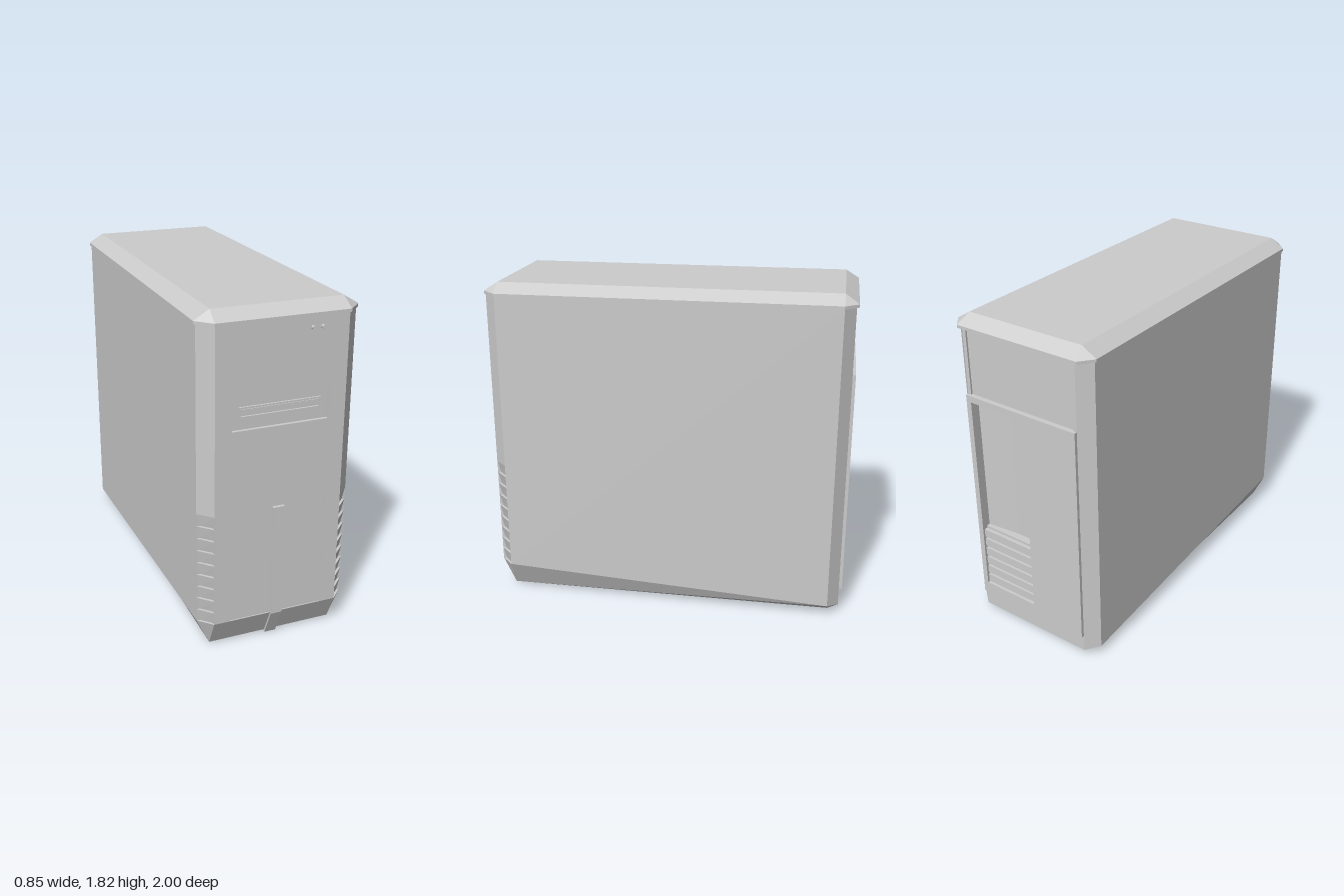
import * as THREE from 'three';

const mat = new THREE.MeshStandardMaterial({ color: 0xcccccc, side: THREE.DoubleSide, flatShading: true });

function add(parent, name, geo) {
  const mesh = new THREE.Mesh(geo, mat);
  mesh.name = name;
  parent.add(mesh);
  return mesh;
}

// Box given by its limits on each axis
function box(parent, name, [x0, x1], [y0, y1], [z0, z1]) {
  const geo = new THREE.BoxGeometry(x1 - x0, y1 - y0, z1 - z0);
  geo.translate((x0 + x1) / 2, (y0 + y1) / 2, (z0 + z1) / 2);
  return add(parent, name, geo);
}

// Flat-shaded surface from convex polygons
function faces(polys) {
  const pos = [];
  for (const p of polys) {
    for (let i = 1; i < p.length - 1; i++) pos.push(...p[0], ...p[i], ...p[i + 1]);
  }
  const geo = new THREE.BufferGeometry();
  geo.setAttribute('position', new THREE.Float32BufferAttribute(pos, 3));
  geo.computeVertexNormals();
  return geo;
}

const mirror = polys => polys.map(p => p.map(([x, y, z]) => [-x, y, z]).reverse());

// Turns polygons so that they face away from a centre point
function outward(polys, centre) {
  const c = new THREE.Vector3(...centre);
  return polys.map(p => {
    const [a, b, d] = p.map(q => new THREE.Vector3(...q));
    const n = b.clone().sub(a).cross(d.clone().sub(a));
    return n.dot(a.clone().sub(c)) < 0 ? [...p].reverse() : p;
  });
}

// Rectangle frame shape with a rectangular hole
function frame([x0, x1, y0, y1], [a0, a1, b0, b1], depth, z) {
  const rect = (C, l, r, b, t) => new C([[l, b], [r, b], [r, t], [l, t]].map(q => new THREE.Vector2(...q)));
  const shape = rect(THREE.Shape, x0, x1, y0, y1);
  shape.holes.push(rect(THREE.Path, a0, a1, b0, b1));
  const geo = new THREE.ExtrudeGeometry(shape, { depth, bevelEnabled: false });
  return geo.translate(0, 0, z);
}

const X = 0.415, XI = 0.345, ZF = 0.99, ZB = -0.98, ZI = 0.92, TOP = 1.75, BASE = 0.01;
const VENT_TOP = 0.78, VENT_BOTTOM = 0.16;

function buildShell(group) {
  // Side, corner chamfers and tapered underside of one half
  const half = [
    [[X, 0.16, ZI], [X, 0.06, -ZI], [X, TOP, -ZI], [X, TOP, ZI]],
    [[XI, VENT_TOP, ZF], [X, VENT_TOP, ZI], [X, TOP, ZI], [XI, TOP, ZF]],
    [[XI, 0.04, ZB], [X, 0.06, -ZI], [X, TOP, -ZI], [XI, TOP, ZB]],
    [[XI, BASE, ZI], [XI, BASE, -ZI], [X, 0.06, -ZI], [X, 0.16, ZI]],
    [[XI, BASE, ZI], [X, 0.16, ZI], [XI, 0.16, ZF]],
    [[XI, BASE, -ZI], [X, 0.06, -ZI], [XI, 0.04, ZB]],
  ];
  // Front skirt, rear skirt, rear lower strip and floor
  const middle = [
    [[-XI, BASE, ZI], [XI, BASE, ZI], [XI, 0.16, ZF], [-XI, 0.16, ZF]],
    [[-XI, BASE, -ZI], [XI, BASE, -ZI], [XI, 0.04, ZB], [-XI, 0.04, ZB]],
    [[-XI, 0.04, ZB], [XI, 0.04, ZB], [XI, 0.14, ZB], [-XI, 0.14, ZB]],
    [[-XI, BASE, ZI], [XI, BASE, ZI], [XI, BASE, -ZI], [-XI, BASE, -ZI]],
  ];
  add(group, 'caseShell', faces(outward([...half, ...mirror(half), ...middle], [0, 0.9, 0])));
}

function buildVents(group) {
  // Sawtooth louvres cut into the front corner chamfers
  const count = 9, step = (VENT_TOP - VENT_BOTTOM) / count, polys = [];
  const A = y => [XI, y, ZF], B = y => [X, y, ZI];
  const a = y => [XI, y, ZF - 0.02], b = y => [X - 0.018, y, ZI];
  for (let i = 0; i < count; i++) {
    const y0 = VENT_BOTTOM + i * step, y1 = y0 + step;
    polys.push(
      [a(y0), b(y0), B(y1), A(y1)],
      [A(y0), B(y0), b(y0), a(y0)],
      [A(y1), A(y0), a(y0)],
      [B(y1), b(y0), B(y0)],
    );
  }
  add(group, 'leftVent', faces(polys));
  add(group, 'rightVent', faces(mirror(polys)));
}

function buildLid(group) {
  const ring = y => [
    [0.425, y, -ZI], [0.425, y, ZI], [0.35, y, 0.997], [-0.35, y, 0.997],
    [-0.425, y, ZI], [-0.425, y, -ZI], [-0.365, y, -0.993], [0.365, y, -0.993],
  ];
  const t = 1.815;
  const top = [[XI, t, -ZI], [XI, t, ZI], [XI, t, ZI], [-XI, t, ZI],
    [-XI, t, ZI], [-XI, t, -ZI], [-XI, t, -ZI], [XI, t, -ZI]];
  const low = ring(TOP), rim = ring(1.766), polys = [low, [top[0], top[1], top[3], top[5]]];
  for (let i = 0; i < 8; i++) {
    const j = (i + 1) % 8;
    polys.push([low[i], low[j], rim[j], rim[i]], [rim[i], rim[j], top[j], top[i]]);
  }
  add(group, 'lid', faces(outward(polys, [0, 1.78, 0])));
}

function buildFront(group) {
  const door = [-0.257, 0.257];
  box(group, 'frontLeftStrip', [door[1], XI], [0.16, TOP], [0.95, ZF]);
  box(group, 'frontRightStrip', [-XI, door[0]], [0.16, TOP], [0.95, ZF]);
  box(group, 'lowerDoor', door, [0.16, 1.215], [0.93, 0.982]);
  box(group, 'upperDoor', door, [1.375, TOP], [0.93, 0.982]);
  box(group, 'doorSill', door, [0.155, 0.16], [0.95, 0.987]);

  // Drive bay with framed tray
  box(group, 'driveBay', door, [1.215, 1.375], [0.93, 0.964]);
  add(group, 'driveFrame', frame([-0.217, 0.217, 1.275, 1.332], [-0.208, 0.208, 1.284, 1.323], 0.012, 0.962));
  box(group, 'driveTray', [-0.204, 0.204], [1.288, 1.319], [0.95, 0.969]);

  // Indicator lights
  for (const x of [0.155, 0.207]) {
    const geo = new THREE.CylinderGeometry(0.01, 0.01, 0.025, 16);
    add(group, 'indicatorLight', geo.rotateX(Math.PI / 2).translate(x, 1.692, 0.985));
  }

  // Centre rib that follows the skirt down to the floor
  const profile = [[0.965, 0.78], [1, 0.78], [1, 0.157], [0.93, 0], [0.9, 0], [0.965, 0.16]];
  const rib = new THREE.ExtrudeGeometry(
    new THREE.Shape(profile.map(p => new THREE.Vector2(...p))), { depth: 0.062, bevelEnabled: false });
  add(group, 'centreRib', rib.translate(0, 0, -0.031).rotateY(-Math.PI / 2));
}

function buildBack(group) {
  // Upper recessed plate between two edge strips
  box(group, 'rearUpperPlate', [-0.325, 0.325], [1.38, TOP], [-0.97, -0.94]);
  for (const s of [-1, 1]) {
    box(group, 'rearEdgeStrip', [s * 0.335 - 0.01, s * 0.335 + 0.01], [1.38, TOP], [ZB, -0.94]);
  }

  // Raised panel with a tall pocket
  const x0 = -0.02, x1 = 0.315, y0 = 0.21, y1 = 1.355;
  add(group, 'rearPanel', frame([-XI, XI, 0.14, 1.39], [x0, x1, y0, y1], 0.085, -0.997));
  const xm = 0.12, zs = -0.945, zd = -0.925;
  add(group, 'rearPocket', faces([
    [[x1, y0, zs], [xm, y0, zd], [xm, y1, zd], [x1, y1, zs]],
    [[xm, y0, zd], [x0, y0, zd], [x0, y1, zd], [xm, y1, zd]],
  ]));

  // Louvres in the lower part of the pocket
  const count = 6, step = 0.061;
  for (let i = 0; i < count; i++) {
    const y = y0 + 0.005 + i * step;
    box(group, 'rearLouvre', [x0, x1], [y, y + step - 0.014], [-0.985, -0.92]);
    box(group, 'rearLouvreGap', [x0, x1], [y + step - 0.014, y + step], [-0.965, -0.92]);
  }
}

export function createModel() {
  const group = new THREE.Group();
  group.name = 'computerTower';
  buildShell(group);
  buildVents(group);
  buildLid(group);
  buildFront(group);
  buildBack(group);
  return group;
}
